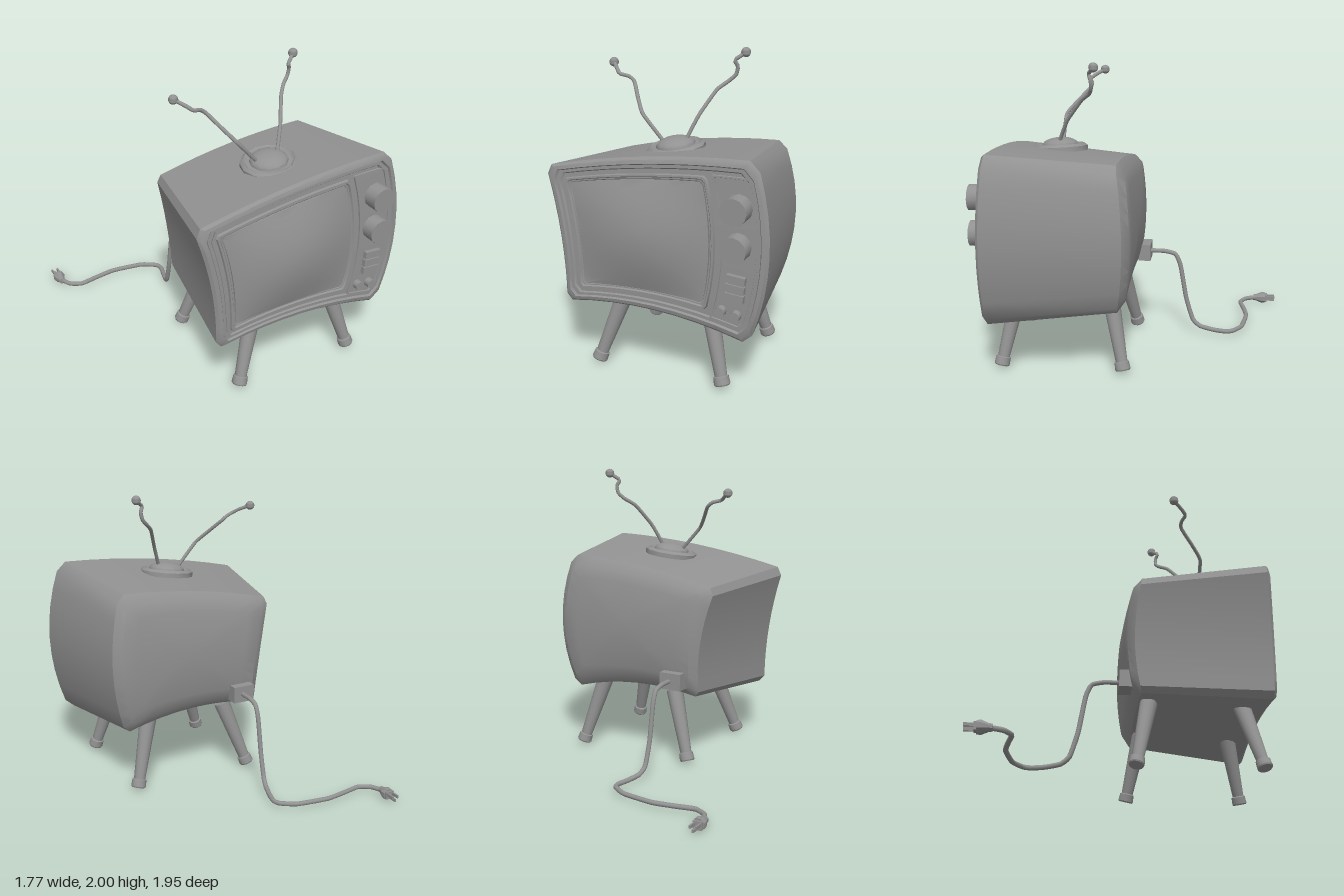
import * as THREE from 'three';
import { toCreasedNormals } from 'three/addons/utils/BufferGeometryUtils.js';

const material = new THREE.MeshStandardMaterial({ color: 0x929292 });
const V = (x, y, z) => new THREE.Vector3(x, y, z);
const lerp = THREE.MathUtils.lerp;
const arch = (t) => 4 * t * (1 - t);

function add(parent, name, geometry, crease = 0.6) {
  const mesh = new THREE.Mesh(toCreasedNormals(geometry, crease), material);
  mesh.name = name;
  parent.add(mesh);
  return mesh;
}

// Crooked front face: maps (u, v) in 0..1 to a point, dz lifts it forward
function face(u, v, dz = 0) {
  const left = lerp(-0.475, -0.61, v) + 0.04 * arch(v);
  const right = lerp(0.765, 0.79, v) + 0.107 * arch(v);
  const bottom = lerp(0.413, 0.352, u) + 0.074 * arch(u);
  const top = lerp(1.285, 1.466, u) + 0.042 * arch(u);
  return V(lerp(left, right, u), lerp(bottom, top, v), 0.88 - 0.024 * v + 0.012 * arch(v) + dz);
}

// The same outline shrunk towards the back of the cabinet
function back(u, v, dz) {
  const p = face(u, v);
  return V(0.19 + (p.x - 0.19) * 0.805, 0.92 + (p.y - 0.92) * 0.87, 0.065 - 0.045 * arch(v) + dz);
}

// Rectangle in (u, v) with cut corners, counter-clockwise
function ring([u0, u1, v0, v1], inset, cut, k = 0, n = 8) {
  const iv = inset * 1.3, cv = cut * 1.9;
  const a = u0 + inset, b = u1 - inset, c = v0 + iv, d = v1 - iv;
  const ends = [
    [a + cut, c, b - cut, c], [b, c + cv, b, d - cv],
    [b - cut, d, a + cut, d], [a, d - cv, a, c + cv],
  ];
  const points = [];
  for (const [x0, y0, x1, y1] of ends)
    for (let i = 0; i <= n; i++)
      points.push([lerp(lerp(x0, x1, i / n), (a + b) / 2, k), lerp(lerp(y0, y1, i / n), (c + d) / 2, k)]);
  return points;
}

// Skin between closed rows of points
function loft(rows) {
  const out = [];
  const tri = (a, b, c) => {
    if (a.distanceTo(b) > 1e-6 && b.distanceTo(c) > 1e-6 && c.distanceTo(a) > 1e-6)
      for (const p of [a, b, c]) out.push(p.x, p.y, p.z);
  };
  for (let r = 0; r < rows.length - 1; r++) {
    const lo = rows[r], hi = rows[r + 1];
    for (let j = 0; j < lo.length; j++) {
      const k = (j + 1) % lo.length;
      tri(lo[j], lo[k], hi[k]);
      tri(lo[j], hi[k], hi[j]);
    }
  }
  const g = new THREE.BufferGeometry();
  g.setAttribute('position', new THREE.Float32BufferAttribute(out, 3));
  return g;
}

// Stepped moulding on the front face, filled by a panel that bulges by `bulge`
function moulding(rect, cut, steps, bulge) {
  const [u0, u1, v0, v1] = rect;
  const rows = steps.map(([inset, dz]) => ring(rect, inset, cut).map(([u, v]) => face(u, v, dz)));
  const [inset, dz] = steps[steps.length - 1];
  const dome = (u, v) =>
    bulge * Math.sin(Math.PI * (u - u0) / (u1 - u0)) * Math.sin(Math.PI * (v - v0) / (v1 - v0));
  for (const k of [0, 0.12, 0.25, 0.4, 0.55, 0.7, 0.85, 1])
    rows.push(ring(rect, inset, cut, k).map(([u, v]) => face(u, v, dz + dome(u, v))));
  return loft(rows);
}

const lathe = (profile, sides) =>
  new THREE.LatheGeometry(profile.map(([r, y]) => new THREE.Vector2(r, y)), sides);

// Round wire with tight bends
function wire(points, radius, segments) {
  const path = new THREE.CatmullRomCurve3(points.map((p) => V(...p)), false, 'catmullrom', 0.25);
  return new THREE.TubeGeometry(path, segments, radius, 8);
}

export function createModel() {
  const model = new THREE.Group();
  model.name = 'television';
  const whole = [0, 1, 0, 1];

  // Cabinet: bulging back, bevelled rear edge, straight tapering sides
  const rows = [1, 0.8, 0.6, 0.4, 0.2, 0].map((k) =>
    ring(whole, 0.05, 0.022, k).map(([u, v]) => back(u, v, -0.042 - 0.015 * (1 - (1 - k) ** 2))));
  rows.push(ring(whole, 0, 0.03).map(([u, v]) => back(u, v, 0)));
  rows.push(ring(whole, 0, 0.03).map(([u, v]) => face(u, v)));
  add(model, 'cabinet', loft(rows));

  // Front mouldings
  add(model, 'frontFrame', moulding(whole, 0.03,
    [[0, 0], [0.012, 0.018], [0.03, 0.023], [0.036, 0.01], [0.05, 0.01], [0.056, 0]], 0));
  add(model, 'screen', moulding([0.075, 0.758, 0.1, 0.9], 0.011,
    [[0, -0.005], [0.004, 0.016], [0.013, 0.016], [0.018, 0.006], [0.024, 0.006], [0.028, 0.002]], 0.076));
  add(model, 'controlPanel', moulding([0.78, 0.952, 0.06, 0.91], 0.005,
    [[0, -0.005], [0.002, 0.01], [0.009, 0.01], [0.011, 0.003]], 0));

  // Dials and small knobs
  const dial = [[0.084, 0], [0.083, 0.1], [0, 0.1]];
  const knob = [[0.032, 0], [0.031, 0.047], [0, 0.047]];
  for (const [name, profile, x, y, z] of [
    ['upperDial', dial, 0.692, 1.185, 0.872], ['lowerDial', dial, 0.692, 0.955, 0.872],
    ['leftKnob', knob, 0.595, 0.545, 0.88], ['rightKnob', knob, 0.69, 0.53, 0.88],
  ]) {
    const mesh = add(model, name, lathe(profile, 12));
    mesh.position.set(x, y, z);
    mesh.rotation.x = Math.PI / 2;
  }

  // Ribbed switch
  const rib = new THREE.Group();
  rib.name = 'switch';
  add(rib, 'switchBase', new THREE.BoxGeometry(0.1, 0.16, 0.03));
  for (let i = -1; i <= 1; i++)
    add(rib, 'switchRib', new THREE.BoxGeometry(0.118, 0.048, 0.05)).position.y = i * 0.057;
  rib.position.set(0.685, 0.7, 0.89);
  rib.rotation.z = -0.08;
  model.add(rib);

  // Splayed legs with feet
  for (const [side, x0, x1] of [['right', -0.275, -0.12], ['left', 0.585, 0.455]])
    for (const [end, z0, z1] of [['front', 0.838, 0.74], ['back', 0.033, 0.13]]) {
      const foot = V(x0, 0.024, z0), axis = V(x1, 0.49, z1).sub(foot);
      const len = axis.length();
      const leg = add(model, `${end}Leg ${side}`, lathe(
        [[0, 0], [0.046, 0], [0.051, 0.008], [0.048, 0.055], [0.039, 0.06], [0.058, len], [0, len]], 12));
      leg.position.copy(foot);
      leg.quaternion.setFromUnitVectors(V(0, 1, 0), axis.normalize());
    }

  // Antenna dome on a stepped disc
  const dome = [[0.185, -0.03], [0.185, 0.002], [0.165, 0.018], [0.152, 0.008], [0.125, 0.008]];
  for (let i = 1; i <= 6; i++) {
    const a = (i / 6) * Math.PI / 2;
    dome.push([0.125 * Math.cos(a), 0.01 + 0.053 * Math.sin(a)]);
  }
  const base = add(model, 'antennaBase', lathe(dome, 12));
  base.position.set(0.12, 1.403, 0.508);
  base.rotation.set(0.07, 0, 0.12);

  // Bent antennas with ball tips
  const antennas = {
    rightAntenna: [[0.04, 1.42, 0.505], [0.01, 1.45, 0.505], [-0.11, 1.585, 0.505], [-0.175, 1.665, 0.44],
      [-0.245, 1.755, 0.357], [-0.285, 1.785, 0.355], [-0.34, 1.8, 0.375], [-0.375, 1.825, 0.345], [-0.43, 1.857, 0.285]],
    leftAntenna: [[0.18, 1.42, 0.51], [0.195, 1.475, 0.49], [0.245, 1.6, 0.435], [0.315, 1.74, 0.33], [0.37, 1.79, 0.27],
      [0.41, 1.83, 0.25], [0.422, 1.88, 0.25], [0.405, 1.92, 0.265], [0.43, 1.94, 0.25], [0.464, 1.968, 0.225]],
  };
  for (const [name, points] of Object.entries(antennas)) {
    add(model, name, wire(points, 0.0125, 40), 0.9);
    add(model, `${name} tip`, new THREE.SphereGeometry(0.031, 12, 10), 0.9).position.set(...points[points.length - 1]);
  }

  // Power cord
  add(model, 'cordSocket', new THREE.BoxGeometry(0.155, 0.115, 0.085)).position.set(-0.19, 0.605, -0.03);
  add(model, 'cord', wire([
    [-0.18, 0.605, -0.05], [-0.18, 0.605, -0.165], [-0.18, 0.585, -0.245], [-0.18, 0.5, -0.282],
    [-0.18, 0.26, -0.325], [-0.175, 0.1, -0.375], [-0.16, 0.055, -0.43], [-0.13, 0.042, -0.53],
    [-0.11, 0.042, -0.61], [-0.125, 0.042, -0.66], [-0.225, 0.042, -0.725], [-0.445, 0.042, -0.757],
    [-0.6, 0.042, -0.735], [-0.725, 0.042, -0.712], [-0.805, 0.042, -0.755], [-0.84, 0.042, -0.83],
  ], 0.016, 75), 0.9);

  // Plug with a collar and three prongs
  const plug = new THREE.Group();
  plug.name = 'plug';
  const body = add(plug, 'plugBody', lathe(
    [[0, 0], [0.022, 0], [0.026, 0.025], [0.043, 0.065], [0.04, 0.09], [0, 0.09]], 8));
  body.rotation.set(-Math.PI / 2, Math.PI / 8, 0);
  add(plug, 'plugCollar', new THREE.BoxGeometry(0.06, 0.05, 0.02)).position.z = -0.095;
  for (const [x, y] of [[-0.02, 0.008], [0.02, 0.008], [0, -0.014]])
    add(plug, 'prong', new THREE.BoxGeometry(0.011, 0.02, 0.065)).position.set(x, y, -0.13);
  plug.position.set(-0.842, 0.042, -0.812);
  model.add(plug);

  return model;
}
